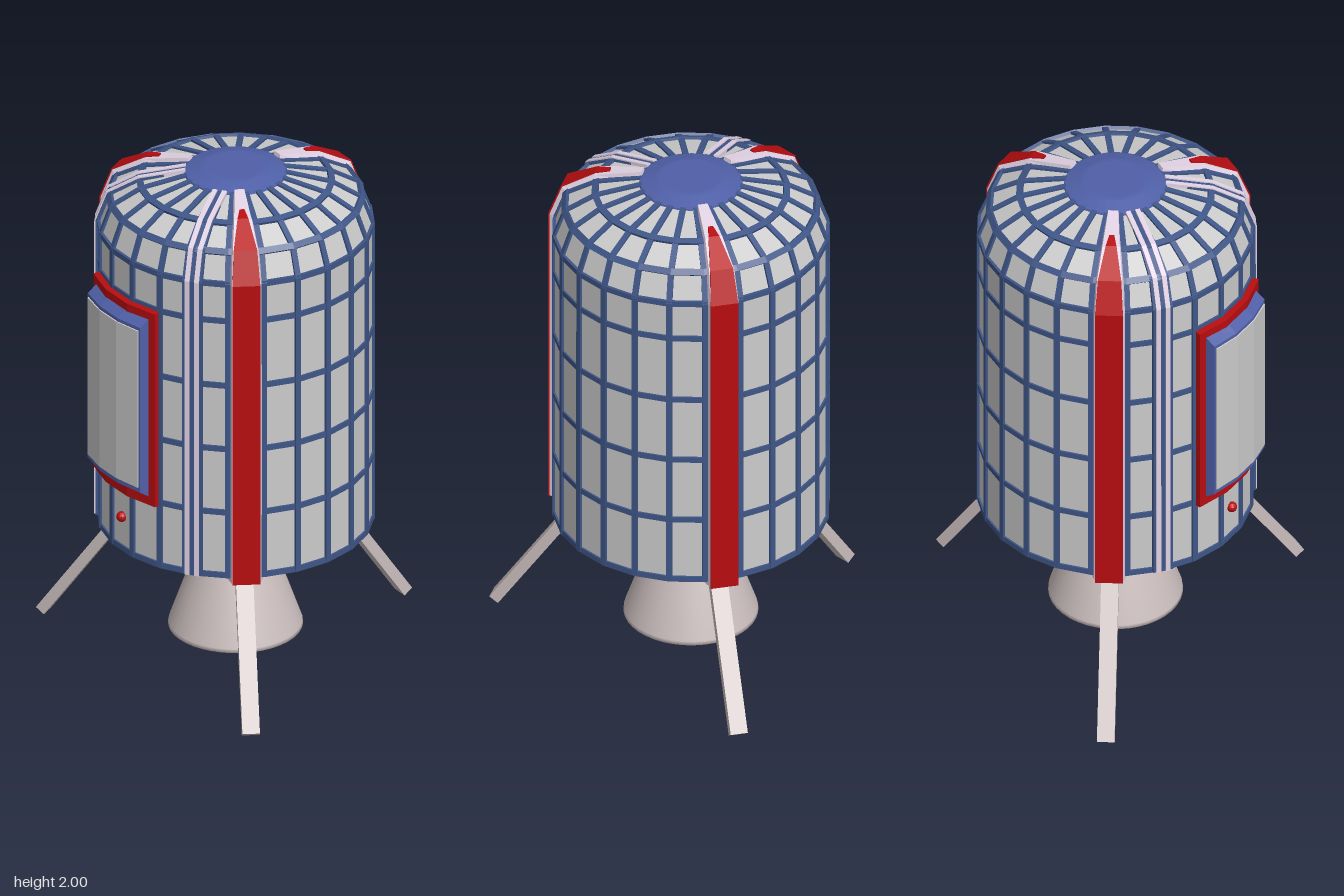
import * as THREE from 'three';

const SIDES = 24;
const STEP = (Math.PI * 2) / SIDES;
const mat = (color) => new THREE.MeshStandardMaterial({ color, flatShading: true });
const grey = mat(0xcccccc);
const ribBlue = mat(0x3f5688);
const capBlue = mat(0x5060a8);
const red = mat(0xb80d10);
const lilac = mat(0xe2d3e4);
const legTone = mat(0xcabebd);

// Hull outline: radius, height, outward normal (r, y)
const HULL = [
  [0.5, 0.57, 1, 0],
  [0.5, 1.77, 0.98, 0.18],
  [0.46, 1.88, 0.75, 0.66],
  [0.35, 1.94, 0.33, 0.94],
  [0.18, 1.975, 0.2, 0.98],
];

function add(parent, name, geometry, material) {
  const mesh = new THREE.Mesh(geometry, material);
  mesh.name = name;
  parent.add(mesh);
  return mesh;
}

// Closed solid through four-cornered sections, each counter-clockwise about the travel direction
function loft(sections) {
  const index = [0, 3, 2, 0, 2, 1];
  for (let i = 0; i < sections.length - 1; i++) {
    for (let j = 0; j < 4; j++) {
      const a = i * 4 + j, b = i * 4 + ((j + 1) % 4);
      index.push(a, b, b + 4, a, b + 4, a + 4);
    }
  }
  const e = (sections.length - 1) * 4;
  index.push(e, e + 1, e + 2, e, e + 2, e + 3);
  const g = new THREE.BufferGeometry();
  g.setAttribute('position', new THREE.Float32BufferAttribute(sections.flat(2), 3));
  g.setIndex(index);
  const flat = g.toNonIndexed();
  flat.computeVertexNormals();
  return flat;
}

// Strip following the hull outline, from depth lo to hi, with half widths at base and top
function band(rows, lo, hi, baseWidth, topWidth) {
  return loft(rows.map(([r, y, nr, ny], i) => {
    const wb = baseWidth(r, i), wt = topWidth(r, i);
    const ri = r + nr * lo, yi = y + ny * lo, ro = r + nr * hi, yo = y + ny * hi;
    return [[ri, yi, wb], [ro, yo, wt], [ro, yo, -wt], [ri, yi, -wb]];
  }));
}

// Curved pad wrapped around the -x side, with bevelled outer edges
function pad(half, y0, y1, r0, r1, inset, shrink) {
  const sections = [];
  for (let i = 0; i <= 3; i++) {
    const a = THREE.MathUtils.degToRad(half) * (i / 1.5 - 1);
    const at = (r, y, t) => [-r * Math.cos(t), y, r * Math.sin(t)];
    sections.push([at(r0, y0, a), at(r0, y1, a),
      at(r1, y1 - inset, a * shrink), at(r1, y0 + inset, a * shrink)]);
  }
  return loft(sections);
}

const lathe = (points, sides = SIDES) =>
  new THREE.LatheGeometry(points.map(([r, y]) => new THREE.Vector2(r, y)), sides, STEP / 2);

export function createModel() {
  const model = new THREE.Group();
  model.name = 'landerCapsule';
  const craft = new THREE.Group();
  craft.name = 'craft';
  craft.position.set(-0.093, 0, 0.0175);
  model.add(craft);

  // Panelled hull and top cap
  add(craft, 'hull', lathe([[0, 0.57], ...HULL, [0, 1.978]]), grey);
  add(craft, 'topCap', lathe([[0.16, 1.96], [0.19, 1.968], [0.187, 1.98], [0.125, 1.998],
    [0.11, 2], [0, 2]], 32), capBlue);

  // Horizontal hoops
  const hoops = new THREE.Group();
  hoops.name = 'hoops';
  craft.add(hoops);
  for (const y of [0.578, 0.835, 1.095, 1.355, 1.62, 1.77]) {
    add(hoops, 'hoop', lathe([[0.48, y - 0.011], [0.507, y - 0.011], [0.507, y + 0.011],
      [0.48, y + 0.011], [0.48, y - 0.011]]), ribBlue);
  }
  for (const [r, y, nr, ny] of HULL.slice(2, 4)) {
    const p = (t, n) => [r - ny * t + nr * n, y + nr * t + ny * n];
    add(hoops, 'shoulderHoop', lathe([p(-0.012, -0.015), p(-0.012, 0.009), p(0.012, 0.009),
      p(0.012, -0.015), p(-0.012, -0.015)]), ribBlue);
  }

  // Vertical ribs on every hull corner
  const ribs = new THREE.Group();
  ribs.name = 'ribs';
  craft.add(ribs);
  const ribGeo = band(HULL, -0.02, 0.008, () => 0.011, () => 0.011);
  for (let i = 0; i < SIDES; i++) {
    add(ribs, 'rib', ribGeo, ribBlue).rotation.y = (i + 0.5) * STEP;
  }

  // Three spines, each with a red face, an underside bracket and a leg
  const spineGeo = band([[0.5, 0.553, 1, 0], ...HULL.slice(1)], -0.02, 0.022,
    (r) => r * Math.sin(STEP / 2), (r, i) => [0.052, 0.052, 0.046, 0.032, 0.018][i]);
  const faceWidth = (r, i) => [0.051, 0.051, 0.043, 0.02, 0.009][i];
  const faceGeo = band([[0.5, 0.551, 1, 0], ...HULL.slice(1, 4), [0.3, 1.951, 0.25, 0.96]],
    0.01, 0.028, faceWidth, faceWidth);
  const bracketGeo = loft([[0.07, 0.56, 0.015], [0.41, 0.522, 0.042], [0.5, 0.55, 0.05],
    [0.522, 0.553, 0.05]].map(([r, y, w]) =>
    [[r, 0.572, -w], [r, 0.572, w], [r, y, w], [r, y, -w]]));

  for (let i = 0; i < 3; i++) {
    const spine = new THREE.Group();
    spine.name = 'spineAndLeg';
    spine.rotation.y = (i * Math.PI * 2) / 3;
    craft.add(spine);
    add(spine, 'spine', spineGeo, lilac);
    add(spine, 'spineFace', faceGeo, red);
    add(spine, 'legBracket', bracketGeo, lilac);
    // The back leg reaches slightly further
    const foot = i === 1 ? [0.775, 0.012] : [0.74, 0.047];
    const dr = foot[0] - 0.41, dy = foot[1] - 0.53;
    const leg = add(spine, 'leg',
      new THREE.BoxGeometry(0.04, Math.hypot(dr, dy), 0.064), legTone);
    leg.position.set(0.41 + dr / 2, 0.53 + dy / 2, 0);
    leg.rotation.z = Math.atan2(dr, -dy);
  }

  // Twin pale conduits on both sides of the hatch
  for (const side of [-1, 1]) {
    const conduit = new THREE.Group();
    conduit.name = 'conduit';
    conduit.rotation.y = Math.PI + side * 2.5 * STEP;
    craft.add(conduit);
    const taper = (w) => (r) => w * (0.4 + 1.2 * r);
    add(conduit, 'conduitBase',
      band(HULL, -0.02, 0.009, taper(0.038), taper(0.038)), ribBlue);
    for (const s of [-1, 1]) {
      add(conduit, 'conduitStripe',
        band(HULL, -0.01, 0.014, () => 0.009, () => 0.009), lilac).position.z = s * 0.018;
    }
  }

  // Hatch on the right side
  const hatch = new THREE.Group();
  hatch.name = 'hatch';
  craft.add(hatch);
  add(hatch, 'hatchFrame', pad(22.5, 0.82, 1.62, 0.48, 0.53, 0.005, 0.98), red);
  add(hatch, 'hatchBody', pad(19.5, 0.84, 1.605, 0.5, 0.562, 0.045, 0.9), capBlue);
  add(hatch, 'hatchPanel', pad(16.8, 0.9, 1.55, 0.54, 0.566, 0.004, 0.99), grey);
  add(hatch, 'hatchButton', new THREE.SphereGeometry(0.02, 12, 8), red)
    .position.set(-0.502, 0.705, 0);

  // Engine bell, open below
  const bellMat = new THREE.MeshStandardMaterial({ color: 0xcabebd, side: THREE.DoubleSide });
  add(craft, 'engineBell', lathe([[0.235, 0.135], [0.235, 0.125], [0.246, 0.125],
    [0.244, 0.14], [0.195, 0.28], [0.143, 0.42], [0.1, 0.53], [0.08, 0.575]], 40), bellMat);

  return model;
}
